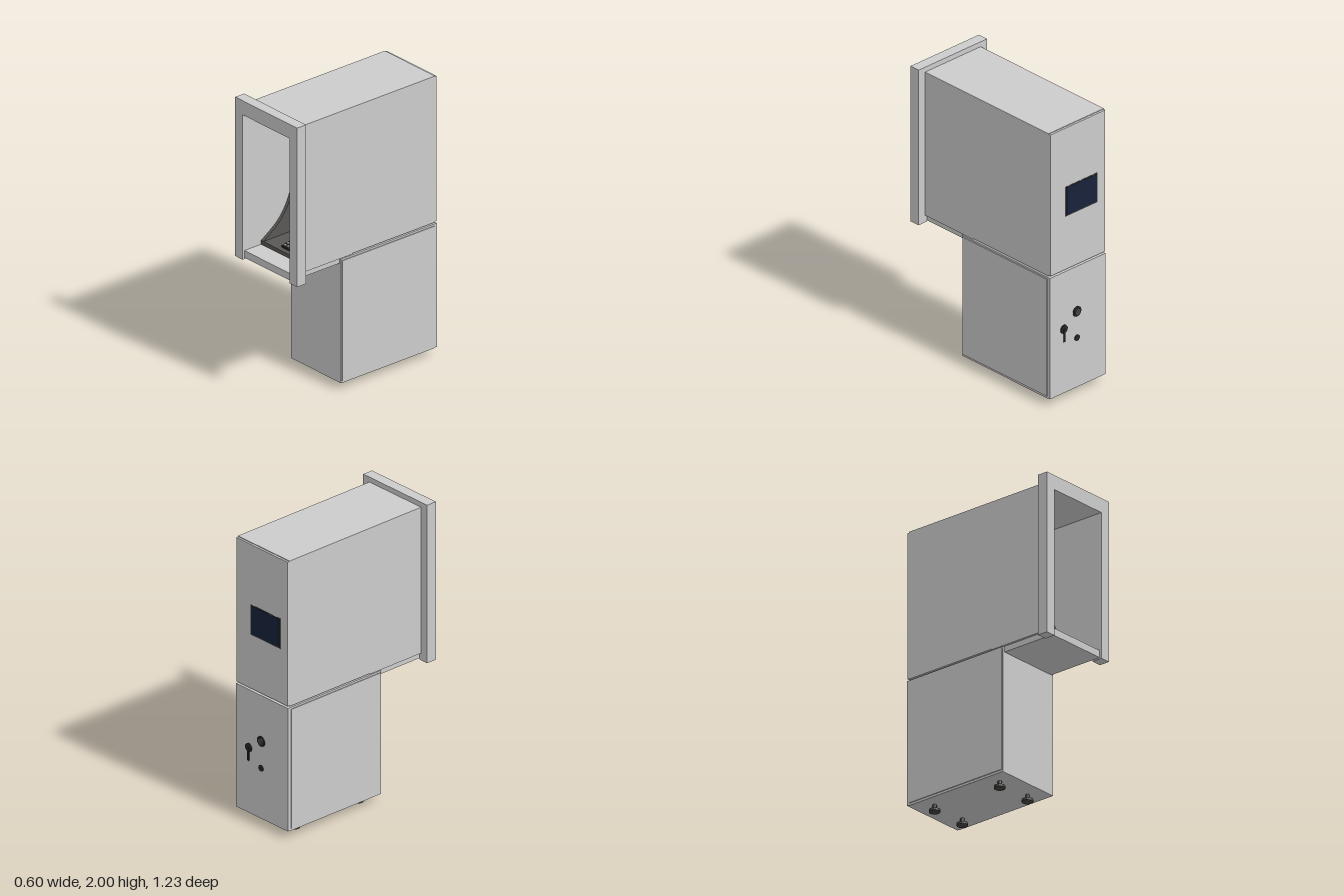
import * as THREE from 'three';

const mat = (color) => new THREE.MeshStandardMaterial({ color, flatShading: true });
const GREY = mat(0xcccccc), DARK = mat(0x5a5855), TRIM = mat(0x45433f), BLACK = mat(0x252525),
  PANEL = mat(0xb0b0b0), BLUE = mat(0x14406e), PALE_BLUE = mat(0x3b6080), NAVY = mat(0x17223a), GREEN = mat(0x0f5a30);

export function createModel() {
  const root = new THREE.Group();

  const add = (parent, name, geometry, material) => {
    const m = new THREE.Mesh(geometry, material);
    m.name = name;
    parent.add(m);
    return m;
  };
  // Box given by its min and max on each axis
  const box = (parent, name, x0, x1, y0, y1, z0, z1, material = GREY) => {
    const m = add(parent, name, new THREE.BoxGeometry(x1 - x0, y1 - y0, z1 - z0), material);
    m.position.set((x0 + x1) / 2, (y0 + y1) / 2, (z0 + z1) / 2);
    return m;
  };
  // Disc or rod whose axis runs along z
  const disc = (parent, name, x, y, z0, z1, r, material, sides = 24) => {
    const m = add(parent, name, new THREE.CylinderGeometry(r, r, z1 - z0, sides).rotateX(Math.PI / 2), material);
    m.position.set(x, y, (z0 + z1) / 2);
    return m;
  };
  const group = (name) => {
    const g = new THREE.Group();
    g.name = name;
    root.add(g);
    return g;
  };
  const extrude = (points, depth, hole) => {
    const s = new THREE.Shape(points.map((p) => new THREE.Vector2(...p)));
    if (hole) s.holes.push(new THREE.Path(hole.map((p) => new THREE.Vector2(...p))));
    return new THREE.ExtrudeGeometry(s, { depth, bevelEnabled: false });
  };

  // Upper cabinet: solid rear, hollow front tunnel
  const upper = group('upperCabinet');
  box(upper, 'rearBody', -0.243, 0.243, 0.935, 1.965, -0.59, 0.1);
  box(upper, 'tunnelRoof', -0.243, 0.243, 1.9, 1.965, 0.1, 0.54);
  for (const s of [-1, 1]) {
    const wall = box(upper, 'tunnelWall', -0.0075, 0.0075, 0.93, 1.9, 0.1, 0.54);
    wall.position.x = s * 0.2355;
  }
  box(upper, 'sillShelf', -0.228, 0.228, 0.89, 0.94, 0.19, 0.6);
  box(upper, 'upperRearDoor', -0.241, 0.241, 0.94, 1.96, -0.605, -0.59);

  // Front surround, open at the bottom between its legs
  const surround = add(root, 'frontSurround', extrude([
    [-0.3, 0.88], [-0.228, 0.88], [-0.228, 1.9], [0.228, 1.9], [0.228, 0.88], [0.3, 0.88], [0.3, 2], [-0.3, 2],
  ], 0.075), GREY);
  surround.position.z = 0.54;

  // Pedestal with thin side plates and a rear door
  const pedestal = group('pedestal');
  box(pedestal, 'pedestalBody', -0.243, 0.243, 0.05, 0.925, -0.59, 0.197);
  box(pedestal, 'lowerRearDoor', -0.243, 0.243, 0.053, 0.925, -0.605, -0.59);
  for (const s of [-1, 1]) {
    const plate = box(pedestal, 'sidePlate', -0.003, 0.003, 0.066, 0.912, -0.58, 0.19);
    plate.position.x = s * 0.246;
  }

  // Levelling feet
  for (const x of [-0.145, 0.125]) for (const z of [0.085, -0.46]) {
    const foot = add(root, 'foot', new THREE.LatheGeometry([
      [0, 0], [0.037, 0], [0.037, 0.017], [0.014, 0.022], [0.014, 0.052], [0, 0.052],
    ].map((p) => new THREE.Vector2(...p)), 20), TRIM);
    foot.position.set(x, 0, z);
  }

  // Fascia at the back of the tunnel
  const fascia = group('fascia');
  const F = 0.14;
  box(fascia, 'fasciaPanel', -0.228, 0.228, 0.94, 1.87, 0.1, F, DARK);
  box(fascia, 'tray', -0.228, 0.228, 0.94, 0.967, F, 0.46, DARK);

  // Curved cheeks sweeping from the panel down to the tray front
  const curve = new THREE.SplineCurve([
    [0.145, 1.72], [0.168, 1.51], [0.215, 1.25], [0.31, 1.08], [0.46, 0.967],
  ].map((p) => new THREE.Vector2(...p))).getPoints(20).map((p) => [p.x, p.y]);
  for (const s of [-1, 1]) {
    const cheek = add(fascia, 'cheek', extrude([[F, 0.965], [F, 1.72], ...curve].map(([z, y]) => [-z, y]), 0.022)
      .rotateY(Math.PI / 2), DARK);
    cheek.position.x = s * 0.217 - 0.011;
  }

  // Screens
  box(fascia, 'upperScreen', -0.186, 0.186, 1.6, 1.825, F, F + 0.005, BLUE);
  box(fascia, 'touchScreenBezel', -0.157, 0.157, 1.276, 1.509, F, F + 0.004, TRIM);
  box(fascia, 'touchScreen', -0.152, 0.152, 1.281, 1.504, F, F + 0.007, PALE_BLUE);

  // Sensor bar
  box(fascia, 'sensorBar', -0.068, 0.064, 1.522, 1.567, F, F + 0.008, DARK);
  for (const x of [-0.031, 0.031]) {
    box(fascia, 'sensorWindow', x - 0.024, x + 0.024, 1.532, 1.556, F, F + 0.01, BLACK);
    disc(fascia, 'sensorLens', x, 1.544, F, F + 0.013, 0.008, PANEL, 12);
  }

  // Card slot and round reader
  box(fascia, 'cardPlate', -0.176, -0.08, 1.18, 1.222, F, F + 0.012, PANEL);
  box(fascia, 'cardSlot', -0.16, -0.095, 1.2, 1.21, F, F + 0.014, BLACK);
  disc(fascia, 'readerRim', 0.139, 1.2, F, F + 0.01, 0.031, TRIM);
  disc(fascia, 'readerFace', 0.139, 1.2, F, F + 0.014, 0.025, GREEN);

  // Speaker slits
  for (const s of [-1, 1]) for (let i = -1; i <= 1; i++) {
    const x = s * 0.167 + i * 0.013;
    box(fascia, 'speakerSlit', x - 0.0035, x + 0.0035, 1.015, 1.052, F, F + 0.003, BLACK);
  }

  // Cash outlet hood with upstand behind
  box(fascia, 'upstand', -0.068, 0.064, 1.075, 1.125, F, F + 0.05, TRIM);
  const hood = add(fascia, 'outletHood', extrude([
    [-0.127, 0.965], [0.127, 0.965], [0.127, 1.065], [0.115, 1.077], [-0.115, 1.077], [-0.127, 1.065],
  ], 0.1), DARK);
  hood.position.z = F;
  box(fascia, 'trayInset', 0.127, 0.19, 0.965, 0.971, 0.28, 0.36, BLACK);

  // Sloped keypad on the tray
  const keypad = group('keypad');
  keypad.position.set(0, 0.982, 0.375);
  keypad.rotation.x = 0.2;
  box(keypad, 'keypadBase', -0.064, 0.06, -0.012, 0.012, -0.055, 0.055, BLACK);
  for (let r = 0; r < 4; r++) for (let c = 0; c < 4; c++) {
    const x = -0.045 + c * 0.0285, z = -0.037 + r * 0.025;
    box(keypad, 'key', x - 0.01, x + 0.01, 0.012, 0.018, z - 0.008, z + 0.008, PANEL);
  }

  // Rear service screen
  const B = -0.605;
  box(root, 'rearScreenBezel', -0.173, 0.107, 1.322, 1.535, B - 0.002, B, TRIM);
  box(root, 'rearScreen', -0.166, 0.1, 1.329, 1.528, B - 0.004, B, NAVY);

  // Rear locks: dial, lever handle and keyhole
  const locks = group('rearLocks');
  disc(locks, 'dialRim', 0.008, 0.6, B - 0.004, B, 0.036, BLACK);
  disc(locks, 'dialKnob', 0.008, 0.6, B - 0.013, B, 0.024, TRIM);
  disc(locks, 'handleHub', 0.123, 0.515, B - 0.006, B, 0.03, BLACK);
  box(locks, 'handleLever', 0.116, 0.13, 0.425, 0.515, B - 0.009, B - 0.003, BLACK);
  disc(locks, 'keyLock', 0.008, 0.41, B - 0.005, B, 0.022, BLACK);

  return root;
}
